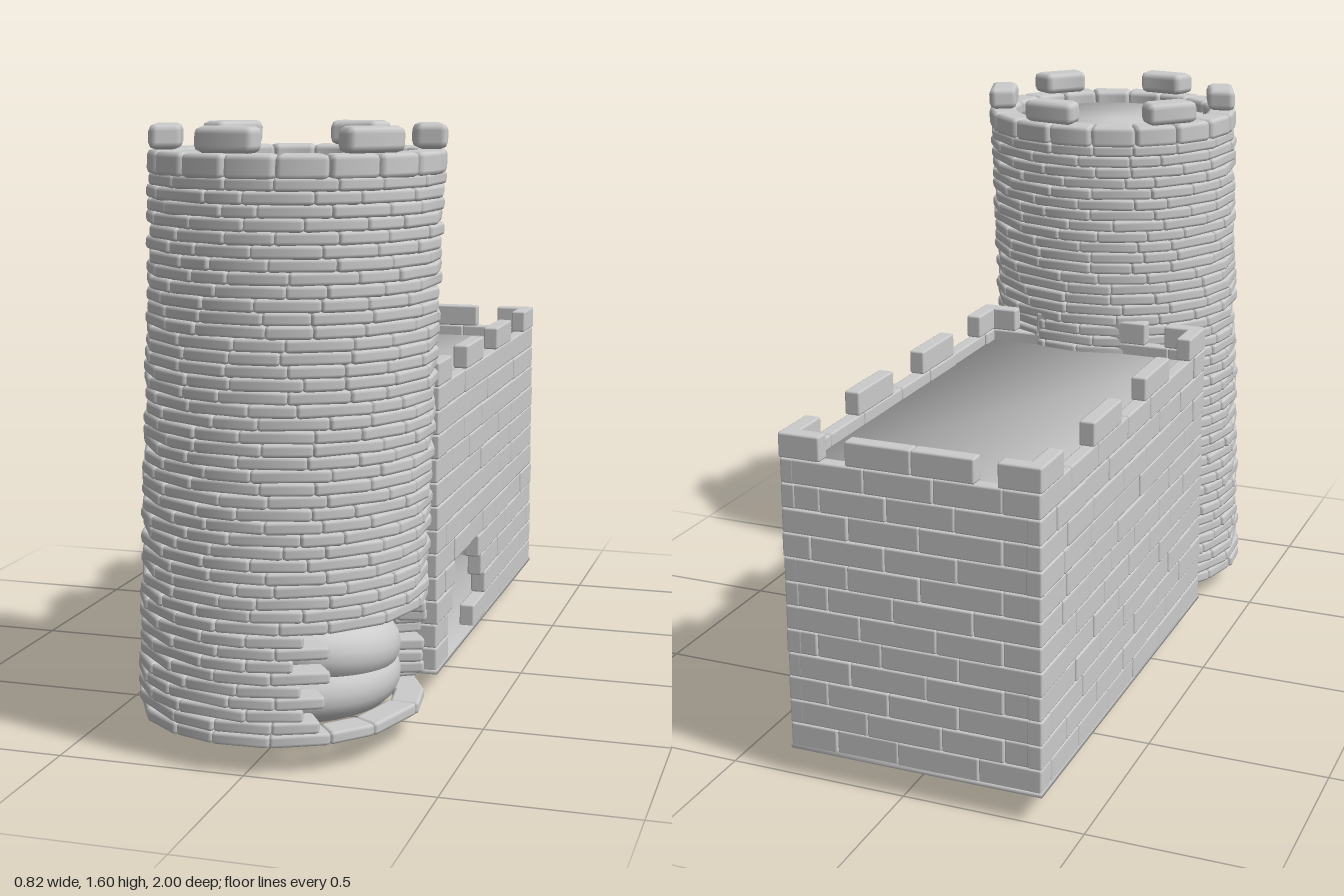
import * as THREE from 'three';
import { mergeGeometries } from 'three/addons/utils/BufferGeometryUtils.js';
import { RoundedBoxGeometry } from 'three/addons/geometries/RoundedBoxGeometry.js';

const GREY = new THREE.MeshStandardMaterial({ color: 0xcccccc });
const DEG = Math.PI / 180;

function createRandom(seed) {
  return () => (seed = (seed * 16807) % 2147483647) / 2147483647;
}

function mesh(name, geometry) {
  const m = new THREE.Mesh(geometry, GREY);
  m.name = name;
  return m;
}

// Tilts the normals of a thin slab outward at its rim, for soft shading
function soften(geometry, halfX, halfZ) {
  const p = geometry.attributes.position, n = geometry.attributes.normal;
  const v = new THREE.Vector3();
  for (let i = 0; i < p.count; i++) {
    v.set(p.getX(i) / halfX, Math.sign(p.getY(i)), p.getZ(i) / halfZ).normalize();
    n.setXYZ(i, v.x, v.y, v.z);
  }
  return geometry;
}

// ---- Tower ----
const TOWER_Z = 0.62;
const towerX = (y) => -0.028 + 0.056 * (y - 0.07) / 1.5; // slight lean

// Rounded stone bent around the tower axis; angle 0 faces the front
function ringStone(angle, span, y, height, radius, depth, round) {
  const g = new RoundedBoxGeometry(span * radius, height, depth, 1, round);
  const p = g.attributes.position, n = g.attributes.normal;
  const v = new THREE.Vector3(), up = new THREE.Vector3(0, 1, 0);
  for (let i = 0; i < p.count; i++) {
    const a = angle + p.getX(i) / radius, r = radius + p.getZ(i), py = y + p.getY(i);
    p.setXYZ(i, towerX(py) + r * Math.sin(a), py, TOWER_Z + r * Math.cos(a));
    v.fromBufferAttribute(n, i).applyAxisAngle(up, a);
    n.setXYZ(i, v.x, v.y, v.z);
  }
  return g;
}

function buildTower() {
  const tower = new THREE.Group();
  tower.name = 'tower';
  const rnd = createRandom(77);
  const rows = 44, count = 16, y0 = 0.073, pitch = (1.485 - y0) / rows, step = 2 * Math.PI / count;

  const stones = [];
  for (let r = 0; r < rows; r++) {
    const y = y0 + (r + 0.5) * pitch;
    const shift = (r % 2) * step / 2 + (rnd() - 0.5) * step * 0.5;
    // Uneven joints between the stones of one course
    const joints = Array.from({ length: count }, (_, i) => i * step + shift + (rnd() - 0.5) * step * 0.4);
    joints.push(joints[0] + 2 * Math.PI);
    // Broken gap low on the front left side
    const broken = y > 0.1 && y < 0.35;
    const gapStart = 28 * DEG, gapEnd = (y > 0.29 ? 95 : 115) * DEG;
    for (let i = 0; i < count; i++) {
      const a = (joints[i] + joints[i + 1]) / 2, span = joints[i + 1] - joints[i];
      const out = (rnd() - 0.5) * 0.006;
      if (broken && a > gapStart && a < gapEnd) continue;
      stones.push(ringStone(a, span * 1.02, y, pitch * 1.06, 0.34 + out, 0.08, 0.01));
    }
  }
  tower.add(mesh('towerStones', mergeGeometries(stones)));

  // Larger rim stones and six single-stone merlons
  const rim = [], merlons = [];
  for (let i = 0; i < 18; i++) {
    rim.push(ringStone(i * 20 * DEG, 20 * DEG, 1.51, 0.062, 0.34, 0.084, 0.014));
  }
  for (let i = 0; i < 6; i++) {
    merlons.push(ringStone((i * 60 - 11) * DEG, 26 * DEG, 1.573, 0.064, 0.34, 0.084, 0.018));
  }
  tower.add(mesh('towerRim', mergeGeometries(rim)), mesh('towerMerlons', mergeGeometries(merlons)));

  const deck = mesh('towerDeck', soften(new THREE.CylinderGeometry(0.32, 0.32, 0.02, 48), 0.32, 0.32));
  deck.position.set(towerX(1.5), 1.495, TOWER_Z);
  tower.add(deck);
  return tower;
}

// Thick coiled body inside the tower base, with its blunt end hanging below
function buildCoil() {
  const coil = new THREE.Group();
  coil.name = 'coil';
  const points = [], radius = 0.225, thick = 0.078;
  for (let i = 0; i <= 22; i++) {
    const t = i / 16, a = t * 2 * Math.PI, y = 0.15 + 0.155 * Math.exp(-2 * t);
    points.push(new THREE.Vector3(-0.01 + radius * Math.sin(a), y, TOWER_Z + radius * Math.cos(a)));
  }
  // Turns inward towards the head
  points.push(new THREE.Vector3(0, 0.155, 0.5), new THREE.Vector3(-0.04, 0.153, 0.62), new THREE.Vector3(-0.04, 0.12, 0.76));
  const path = new THREE.CatmullRomCurve3(points);
  coil.add(mesh('coilBody', new THREE.TubeGeometry(path, 120, thick, 18)));
  const top = mesh('coilEnd', new THREE.SphereGeometry(thick, 18, 12));
  top.position.copy(points[0]);
  const head = mesh('coilHead', new THREE.SphereGeometry(1, 24, 16));
  head.scale.set(0.074, 0.085, 0.11);
  head.position.set(-0.04, 0.086, 0.765);
  coil.add(top, head);
  return coil;
}

// ---- Keep ----
const KEEP = { x: -0.031, z: -0.345, width: 0.71, length: 1.31, base: 0.085, row: 0.067, rows: 12 };

// Running-bond wall along local x, with an optional hole per row
function buildWall(name, length, brick, merlons, holes = {}) {
  const rnd = createRandom(Math.round(length * 1000));
  const parts = [], half = length / 2;
  const add = (a, b, y, depth) => {
    if (b - a < 0.02) return;
    const g = new RoundedBoxGeometry(b - a, KEEP.row, depth, 1, 0.006);
    g.translate((a + b) / 2, y, 0);
    parts.push(g);
  };
  for (let r = 0; r < KEEP.rows; r++) {
    const y = KEEP.base + (r + 0.5) * KEEP.row;
    let a = -half, first = true;
    while (a < half - 0.001) {
      let b = a + brick * (first && r % 2 ? 0.5 : 0.85 + 0.3 * rnd());
      if (half - b < 0.05) b = half;
      const depth = 0.037 + 0.009 * rnd(), hole = holes[r];
      if (hole && a < hole[1] && b > hole[0]) {
        add(a, hole[0], y, depth);
        add(hole[1], b, y, depth);
      } else add(a, b, y, depth);
      a = b;
      first = false;
    }
  }
  for (const [a, b] of merlons) add(a, b, KEEP.base + (KEEP.rows + 0.5) * KEEP.row, 0.044);
  return mesh(name, mergeGeometries(parts));
}

function buildKeep() {
  const keep = new THREE.Group();
  keep.name = 'keep';
  const alongZ = ([z0, z1]) => [KEEP.z - z0, KEEP.z - z1];
  const sideMerlons = [[0.31, 0.16], [-0.03, -0.24], [-0.43, -0.64], [-0.85, -1]].map(alongZ);
  const endMerlons = [[-0.35, -0.24], [-0.18, -0.01], [-0.01, 0.17], [0.24, 0.35]];
  // Stepped doorway in the left wall
  const door = [[0.17, -0.14], [0.17, -0.29], [0.13, -0.24], [0.1, -0.2]].map(alongZ);
  for (const side of [-1, 1]) {
    const wall = buildWall(side > 0 ? 'leftWall' : 'rightWall', KEEP.length, 0.2, sideMerlons, side > 0 ? door : {});
    wall.rotation.y = Math.PI / 2;
    wall.position.set(KEEP.x + side * (KEEP.width / 2 - 0.021), 0, KEEP.z);
    const end = buildWall(side > 0 ? 'frontWall' : 'backWall', KEEP.width - 0.006, 0.2, endMerlons);
    end.position.set(KEEP.x, 0, KEEP.z + side * (KEEP.length / 2 - 0.022));
    keep.add(wall, end);
  }
  // Floor and roof slabs
  for (const [name, y, grow] of [['floor', 0.083, 0], ['roof', 0.85, -0.05]]) {
    const w = KEEP.width + grow, l = KEEP.length + grow;
    const slab = mesh(name, soften(new THREE.BoxGeometry(w, 0.012, l), w / 2, l / 2));
    slab.position.set(KEEP.x, y, KEEP.z);
    keep.add(slab);
  }
  return keep;
}

// ---- Barrels ----
function barrel(radius, length) {
  const h = length / 2, r = radius;
  const profile = [[0, -h * 0.92], [r * 0.75, -h * 0.92], [r * 0.75, -h], [r * 0.88, -h], [r * 0.97, -h * 0.5],
    [r, 0], [r * 0.97, h * 0.5], [r * 0.88, h], [r * 0.75, h], [r * 0.75, h * 0.92], [0, h * 0.92]];
  const group = new THREE.Group();
  group.name = 'barrel';
  group.add(mesh('staves', new THREE.LatheGeometry(profile.map((p) => new THREE.Vector2(...p)), 24)));
  for (const y of [-0.85, -0.35, 0.35, 0.85]) {
    const hoop = mesh('hoop', new THREE.TorusGeometry(r * (1 - 0.11 * y * y), r * 0.06, 6, 24));
    hoop.rotation.x = Math.PI / 2;
    hoop.position.y = y * h;
    group.add(hoop);
  }
  return group;
}

function buildBarrels() {
  const barrels = new THREE.Group();
  barrels.name = 'barrels';
  for (const [z, y] of [[0.07, 0.16], [-0.07, 0.16], [-0.22, 0.16], [0, 0.29], [-0.14, 0.29]]) {
    const b = barrel(0.067, 0.2);
    b.rotation.z = Math.PI / 2;
    b.position.set(-0.02, y, z);
    barrels.add(b);
  }
  const upright = barrel(0.042, 0.14);
  upright.position.set(0.2, 0.16, 0.13);
  barrels.add(upright);
  return barrels;
}

export function createModel() {
  const model = new THREE.Group();
  model.name = 'castle';
  model.add(buildTower(), buildCoil(), buildKeep(), buildBarrels());
  return model;
}
